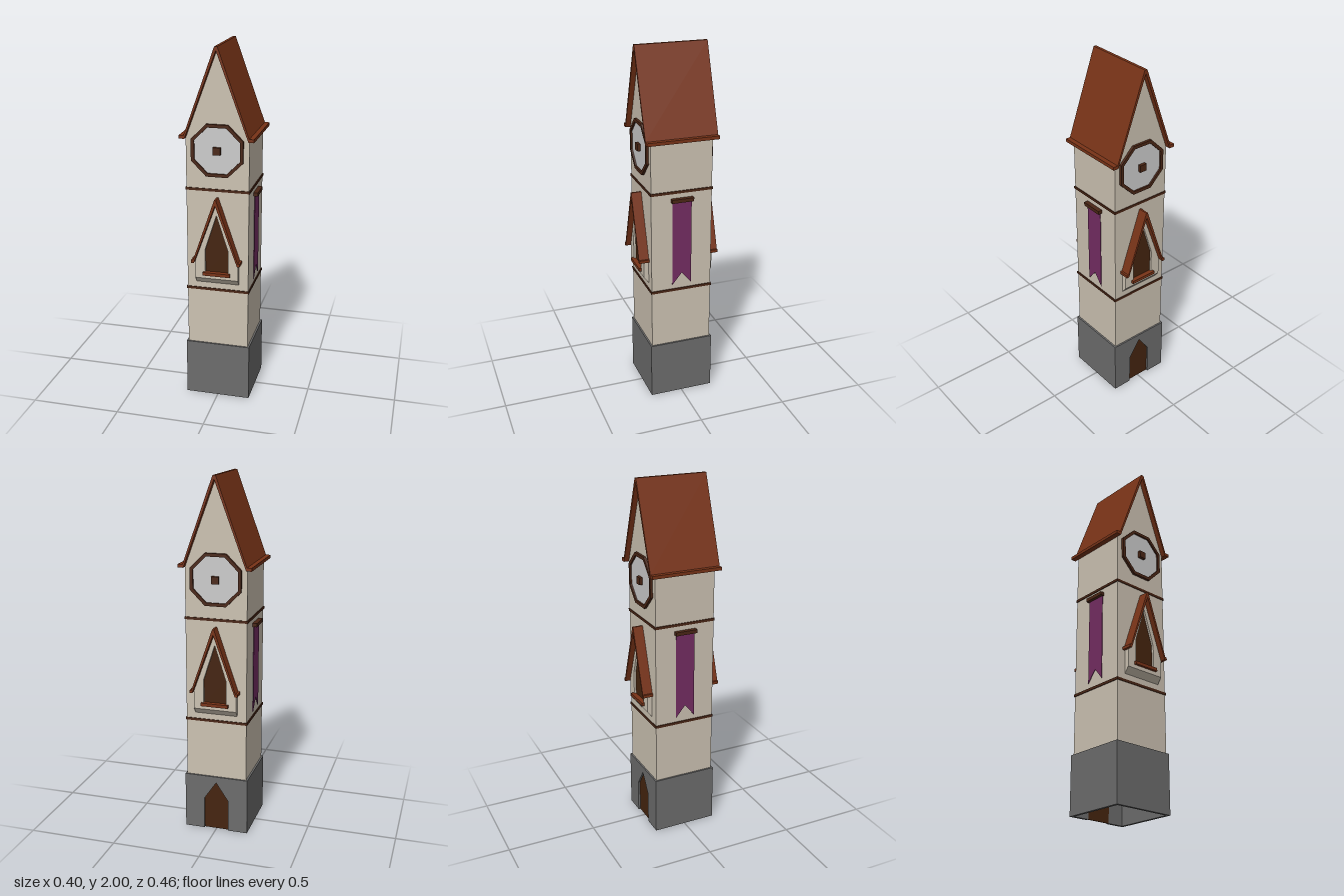
import * as THREE from 'three';

const mat = (color, side = THREE.FrontSide) =>
  new THREE.MeshStandardMaterial({ color, flatShading: true, side });
const plaster = mat(0xccc2b2);
const stone = mat(0x6c6c6c, THREE.DoubleSide);
const tile = mat(0x783317);
const wood = mat(0x4a2615);
const pane = mat(0x45240f);
const dial = mat(0xcccccc);
const cloth = mat(0x742c62, THREE.DoubleSide);

function add(parent, name, geometry, material) {
  const mesh = new THREE.Mesh(geometry, material);
  mesh.name = name;
  parent.add(mesh);
  return mesh;
}

function box(parent, name, material, w, h, d, x, y, z) {
  return add(parent, name, new THREE.BoxGeometry(w, h, d).translate(x, y, z), material);
}

const outline = (pts) => new THREE.Shape(pts.map(([x, y]) => new THREE.Vector2(x, y)));

// Prism with an x-y outline between two z positions
function prism(pts, z0, z1, hole) {
  const shape = outline(pts);
  if (hole) shape.holes.push(outline(hole));
  return new THREE.ExtrudeGeometry(shape, { depth: z1 - z0, bevelEnabled: false }).translate(0, 0, z0);
}

// Symmetric pointed outline: straight sides, then a peak
const pointed = (w, bottom, shoulder, top) =>
  [[-w, bottom], [w, bottom], [w, shoulder], [0, top], [-w, shoulder]];

// Steep roof section with a flat ridge and small flared eaves
function roofOutline(ridge, top, w, eaveTop, eaveBottom, out, thick) {
  const right = [[ridge, top], [w, eaveTop], [out, eaveTop], [out, eaveBottom], [w - 0.004, eaveBottom]];
  const left = right.map(([x, y]) => [-x, y]).reverse();
  return [...right, [0, top - thick], ...left];
}

function octagon(radius) {
  return Array.from({ length: 8 }, (_, i) => {
    const a = (i + 0.5) * Math.PI / 4;
    return [Math.cos(a) * radius, Math.sin(a) * radius];
  });
}

function createClock() {
  const g = new THREE.Group();
  g.name = 'clock';
  add(g, 'clockDial', prism(octagon(0.145), 0.17, 0.178), dial);
  add(g, 'clockFrame', prism(octagon(0.153), 0.17, 0.187, octagon(0.134)), wood);
  box(g, 'clockHub', wood, 0.04, 0.04, 0.02, 0, 0, 0.185);
  g.position.y = 1.457;
  return g;
}

function createDormer() {
  const g = new THREE.Group();
  g.name = 'dormer';
  const opening = pointed(0.064, 0.77, 0.905, 1.105);
  add(g, 'dormerWall', prism(pointed(0.12, 0.735, 0.845, 1.175), 0.165, 0.2, opening), plaster);
  add(g, 'windowPane', prism(opening, 0.165, 0.188), pane);
  // Wedge sloping back to the tower below the dormer
  const wedge = prism([[0.165, 0.7], [0.172, 0.7], [0.2, 0.735], [0.165, 0.735]], -0.12, 0.12);
  add(g, 'dormerCorbel', wedge.rotateY(-Math.PI / 2), plaster);
  box(g, 'windowSill', tile, 0.154, 0.018, 0.035, 0, 0.765, 0.197);
  add(g, 'dormerRoof', prism(roofOutline(0.005, 1.2, 0.125, 0.848, 0.832, 0.136, 0.03), 0.165, 0.23), tile);
  return g;
}

function createBanner() {
  const g = new THREE.Group();
  g.name = 'banner';
  const flag = [[-0.055, 1.19], [-0.055, 0.695], [0, 0.762], [0.055, 0.695], [0.055, 1.19]];
  add(g, 'bannerCloth', prism(flag, 0.176, 0.179), cloth);
  box(g, 'bannerRod', wood, 0.124, 0.02, 0.025, 0, 1.195, 0.184);
  return g;
}

function createBase() {
  const g = new THREE.Group();
  g.name = 'base';
  const r = 0.182, t = 0.016, h = 0.325;
  box(g, 'frontBaseWall', stone, 2 * r, h, t, 0, h / 2, r - t / 2);
  for (const s of [-1, 1]) {
    box(g, 'sideBaseWall', stone, t, h, 2 * (r - t), s * (r - t / 2), h / 2, 0);
  }
  // Rear wall with a pointed doorway and a set-back door
  const wall = [[-r, 0], [-0.07, 0], [-0.07, 0.185], [0, 0.29], [0.07, 0.185], [0.07, 0], [r, 0], [r, h], [-r, h]];
  add(g, 'rearBaseWall', prism(wall, -r, -r + t), stone);
  add(g, 'door', prism(pointed(0.07, 0, 0.185, 0.29), -r + 0.011, -r + t), pane);
  return g;
}

export function createModel() {
  const model = new THREE.Group();
  model.name = 'clockTower';
  model.add(createBase());

  // Square shaft rising into its two gables
  add(model, 'towerWalls', prism(pointed(0.172, 0.322, 1.515, 1.982), -0.173, 0.173), plaster);
  for (const y of [0.661, 1.239]) {
    box(model, 'trimBand', wood, 0.354, 0.014, 0.354, 0, y, 0);
  }
  add(model, 'mainRoof', prism(roofOutline(0.008, 2, 0.176, 1.535, 1.517, 0.202, 0.02), -0.201, 0.201), tile);

  // Clock and dormer at front and back, banners on the sides
  for (let i = 0; i < 2; i++) {
    const clock = createClock();
    const dormer = createDormer();
    const banner = createBanner();
    clock.rotation.y = dormer.rotation.y = i * Math.PI;
    banner.rotation.y = Math.PI / 2 + i * Math.PI;
    model.add(clock, dormer, banner);
  }
  return model;
}
